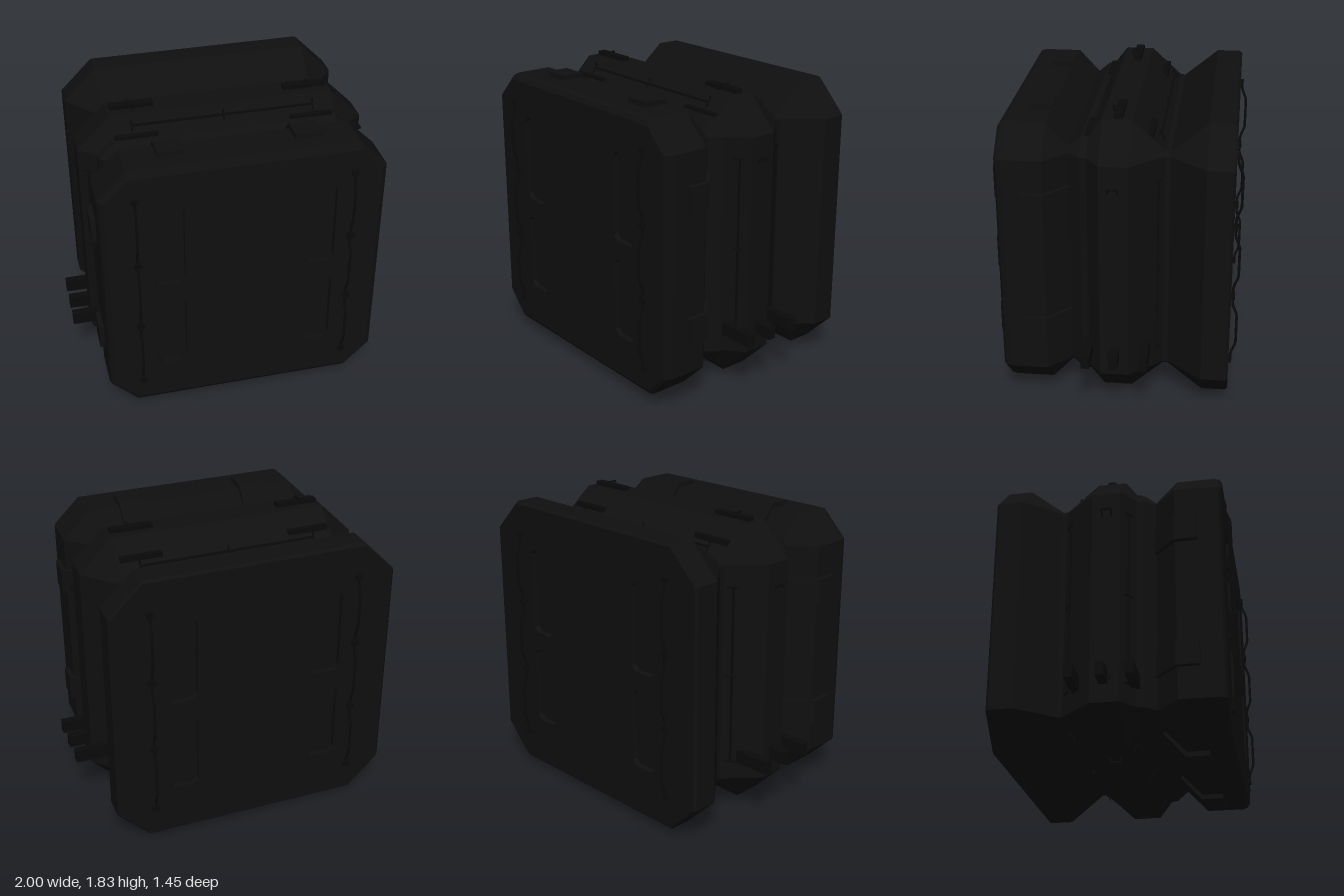
import * as THREE from 'three';

const CY = 0.925; // height of the crate's centre
const CORNER = 0.675; // where every side starts to chamfer

const shellBlack = new THREE.MeshStandardMaterial({ color: 0x0f0f0f, flatShading: true });
shellBlack.name = 'shellBlack';
const fittingBlack = new THREE.MeshStandardMaterial({ color: 0x0a0a0a });
fittingBlack.name = 'fittingBlack';

function add(parent, name, geometry, material, x = 0, y = 0, z = 0) {
  const mesh = new THREE.Mesh(geometry, material);
  mesh.name = name;
  mesh.position.set(x, y, z);
  parent.add(mesh);
  return mesh;
}

// Octagon of half size h, counter-clockwise
function octagon(h) {
  const c = CORNER;
  return [[h, -c], [h, c], [c, h], [-c, h], [-h, c], [-h, -c], [-c, -h], [c, -h]];
}

// Skin over octagons given as [z, half size], from back to front
function loft(sections) {
  const pos = [];
  for (let s = 0; s < sections.length - 1; s++) {
    const [z0, h0] = sections[s], [z1, h1] = sections[s + 1];
    const a = octagon(h0), b = octagon(h1);
    for (let i = 0; i < 8; i++) {
      const j = (i + 1) % 8;
      const p = [...a[i], z0], q = [...a[j], z0], r = [...b[j], z1], t = [...b[i], z1];
      pos.push(...p, ...q, ...r, ...p, ...r, ...t);
    }
  }
  const g = new THREE.BufferGeometry();
  g.setAttribute('position', new THREE.Float32BufferAttribute(pos, 3));
  g.computeVertexNormals();
  return g;
}

// Bent rod through straight segments
function rod(points, radius) {
  const path = new THREE.CurvePath();
  const v = points.map((p) => new THREE.Vector3(...p));
  for (let i = 0; i < v.length - 1; i++) path.add(new THREE.LineCurve3(v[i], v[i + 1]));
  return new THREE.TubeGeometry(path, 60, radius, 6);
}

// Flat end with four recessed panels and two wavy grab rails
function endFace(h) {
  const face = new THREE.Group();
  const toV = ([x, y]) => new THREE.Vector2(x, y);
  const shape = new THREE.Shape(octagon(h).map(toV));
  const depth = 0.035, k = 0.03;
  for (const s of [-1, 1]) {
    for (const [y0, y1] of [[-0.555, -0.065], [0.055, 0.595]]) {
      const x0 = 0.36, x1 = 0.545;
      const hole = [[x0, y0 + k], [x0 + k, y0], [x1 - k, y0], [x1, y0 + k],
        [x1, y1 - k], [x1 - k, y1], [x0 + k, y1], [x0, y1 - k]];
      shape.holes.push(new THREE.Path(hole.map(([x, y]) => new THREE.Vector2(s * x, y))));
      add(face, 'recessFloor', new THREE.BoxGeometry(0.22, y1 - y0 + 0.04, 0.01),
        shellBlack, s * 0.4525, (y0 + y1) / 2, -depth - 0.004);
    }
    // Wavy rail
    const lo = 0.01, hi = 0.038;
    const pts = [];
    for (const c of [-0.455, 0, 0.455]) {
      pts.push([0, c - 0.17, lo], [0, c - 0.1, hi], [0, c + 0.1, hi], [0, c + 0.17, lo]);
    }
    pts.unshift([0, -0.68, lo]);
    pts.push([0, 0.68, lo]);
    add(face, 'grabRail', rod(pts, 0.008), fittingBlack, s * 0.64, 0, 0);
    for (const y of [-0.67, -0.2275, 0.2275, 0.67]) {
      add(face, 'railMount', new THREE.BoxGeometry(0.04, 0.03, 0.02), fittingBlack, s * 0.64, y, 0.008);
      if (Math.abs(y) < 0.5) {
        add(face, 'railRing', new THREE.TorusGeometry(0.02, 0.005, 6, 14), fittingBlack, s * 0.64, y, 0.018);
      }
    }
  }
  const plate = new THREE.ExtrudeGeometry(shape, { depth, bevelEnabled: false });
  plate.translate(0, 0, -depth);
  add(face, 'endPanel', plate, shellBlack);
  return face;
}

// Strap folded over the front block's shoulder, in (z, height)
function strapGeometry(width) {
  const s = new THREE.Shape();
  [[0.53, 0.83], [0.53, 0.875], [0.395, 0.875], [0.265, 0.725], [0.28, 0.70], [0.40, 0.83]]
    .forEach(([z, y], i) => (i ? s.lineTo(z, y) : s.moveTo(z, y)));
  const g = new THREE.ExtrudeGeometry(s, { depth: width, bevelEnabled: false });
  g.translate(0, 0, -width / 2);
  g.rotateY(-Math.PI / 2);
  return g;
}

// Fittings on one of the four long sides, built as the upper one
function sideFittings(isFlank) {
  const side = new THREE.Group();
  for (const s of [-1, 1]) {
    add(side, 'strap', strapGeometry(0.16), shellBlack, s * 0.40, 0, 0);
    // Hooked latch loop
    for (const z of [-0.028, 0.028]) {
      const arc = new THREE.QuadraticBezierCurve3(
        new THREE.Vector3(s * 0.5, 0.868, z), new THREE.Vector3(s * 0.535, 0.875, z),
        new THREE.Vector3(s * 0.55, 0.91, z));
      add(side, 'latchArm', new THREE.TubeGeometry(arc, 8, 0.005, 6), fittingBlack);
    }
    add(side, 'latchBar', new THREE.BoxGeometry(0.01, 0.01, 0.066), fittingBlack, s * 0.55, 0.908, 0);
    if (!isFlank) continue;
  }
  // Long rails held by small curled clips
  for (const [z, h, dir] of [[-0.245, 0.735, -1], [0.12, 0.81, 1]]) {
    add(side, 'sideRail', new THREE.BoxGeometry(1.1, 0.012, 0.012), fittingBlack, 0, h + 0.012, z);
    for (const x of [-0.55, 0, 0.55]) {
      const curl = new THREE.CatmullRomCurve3([
        new THREE.Vector3(x, h - 0.02, z + dir * 0.02), new THREE.Vector3(x, h + 0.005, z + dir * 0.012),
        new THREE.Vector3(x, h + 0.02, z - dir * 0.005), new THREE.Vector3(x, h + 0.045, z - dir * 0.008)]);
      add(side, 'railClip', new THREE.TubeGeometry(curl, 10, 0.006, 6), fittingBlack);
    }
  }
  return side;
}

export function createModel() {
  const model = new THREE.Group();
  model.name = 'armouredCrate';
  const crate = new THREE.Group();
  crate.name = 'crate';
  crate.position.y = CY;
  model.add(crate);

  // Three chamfered blocks joined by valleys
  add(crate, 'backBlock', loft([[-0.68, 0.86], [-0.665, 0.875], [-0.52, 0.875], [-0.31, 0.70], [-0.28, 0.70]]
    ), shellBlack);
  add(crate, 'middleBlock', loft([[-0.28, 0.70], [-0.09, 0.875], [0.08, 0.875], [0.16, 0.77], [0.20, 0.765],
    [0.27, 0.705]]), shellBlack);
  add(crate, 'frontBlock', loft([[0.27, 0.705], [0.40, 0.845], [0.63, 0.845], [0.66, 0.835], [0.675, 0.81]]),
    shellBlack);

  const front = endFace(0.81);
  front.name = 'frontFace';
  front.position.z = 0.675;
  const back = endFace(0.86);
  back.name = 'backFace';
  back.position.z = -0.68;
  back.rotation.y = Math.PI;
  crate.add(front, back);

  ['top', 'left', 'bottom', 'right'].forEach((name, i) => {
    const side = sideFittings(i % 2 === 1);
    side.name = name + 'Fittings';
    side.rotation.z = -i * Math.PI / 2;
    crate.add(side);
  });

  // Hinge bars: flat on the top, sticking out at the flanks
  for (const s of [-1, 1]) {
    for (const [z, h] of [[-0.185, 0.795], [-0.01, 0.9], [0.155, 0.785]]) {
      add(crate, 'topBar', new THREE.BoxGeometry(0.26, 0.08, 0.05), fittingBlack, s * 0.53, h - 0.04, z);
      add(crate, 'flankBar', new THREE.BoxGeometry(0.3, 0.08, 0.05), fittingBlack, s * 0.85, -0.525, z);
    }
  }
  return model;
}
